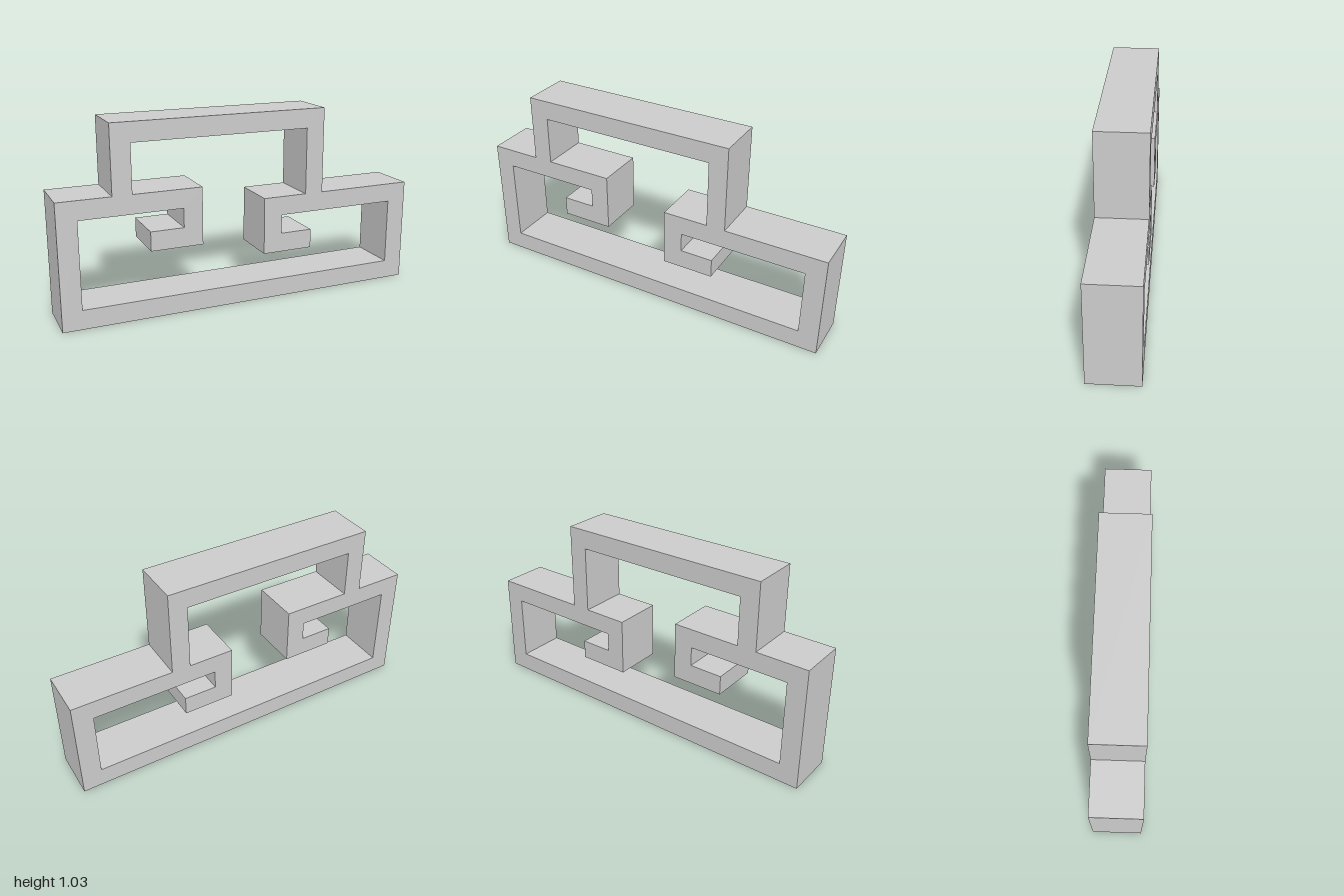
import * as THREE from 'three';

const DEPTH = 0.27;
const points = (list) => list.map(([x, y]) => new THREE.Vector2(x, y));

export function createModel() {
  const group = new THREE.Group();
  group.name = 'meanderShelf';

  // Outer silhouette: stepped base with a raised arch
  const outline = new THREE.Shape(points([
    [-1, 0], [1, 0], [1, 0.57], [0.455, 0.57], [0.455, 1.035],
    [-0.72, 1.035], [-0.72, 0.672], [-1, 0.672],
  ]));

  // Inner opening, running around the two hooked ends
  outline.holes.push(new THREE.Path(points([
    [-0.895, 0.104], [0.893, 0.104], [0.893, 0.467],
    // right hook
    [0.21, 0.467], [0.21, 0.363], [0.39, 0.363], [0.39, 0.259], [0.106, 0.259], [0.106, 0.57],
    // under the arch
    [0.353, 0.57], [0.353, 0.931], [-0.617, 0.931], [-0.617, 0.672],
    // left hook
    [-0.247, 0.672], [-0.247, 0.363], [-0.53, 0.363], [-0.53, 0.467], [-0.35, 0.467], [-0.35, 0.57],
    [-0.895, 0.57],
  ])));

  const geometry = new THREE.ExtrudeGeometry(outline, { depth: DEPTH, bevelEnabled: false });
  geometry.translate(0, 0, -DEPTH / 2);

  const frame = new THREE.Mesh(
    geometry,
    new THREE.MeshStandardMaterial({ color: 0xcccccc, flatShading: true }),
  );
  frame.name = 'shelfFrame';
  group.add(frame);
  return group;
}
